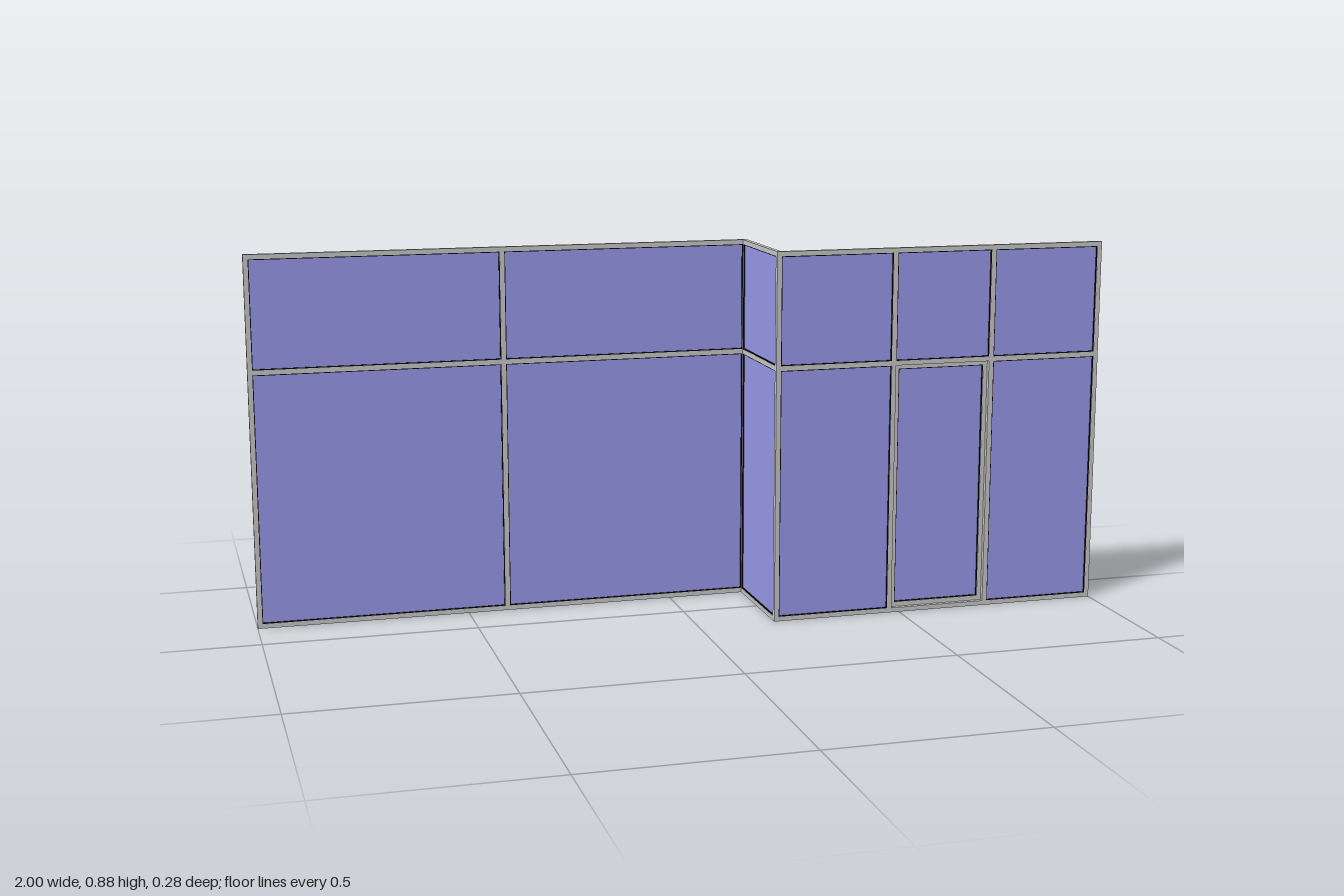
import * as THREE from 'three';

const HEIGHT = 0.88, BAR = 0.011, DEPTH = 0.011, TRANSOM = 0.608;

const frameMat = new THREE.MeshStandardMaterial({ color: 0xcccccc });
const glassMat = new THREE.MeshStandardMaterial({ color: 0x9a9cee });
const sealMat = new THREE.MeshStandardMaterial({ color: 0x080808 });

// Box given by its lower and upper x and y, centred on the wall plane
function bar(group, name, mat, x0, x1, y0, y1, depth) {
  const mesh = new THREE.Mesh(new THREE.BoxGeometry(x1 - x0, y1 - y0, depth), mat);
  mesh.name = name;
  mesh.position.set((x0 + x1) / 2, (y0 + y1) / 2, 0);
  group.add(mesh);
}

// Rectangular ring extruded through the wall
function ring(group, name, mat, x0, x1, y0, y1, width, depth) {
  const outline = (s, a, b, c, d) =>
    s.moveTo(a, c).lineTo(b, c).lineTo(b, d).lineTo(a, d).closePath();
  const shape = new THREE.Shape();
  outline(shape, x0, x1, y0, y1);
  const hole = new THREE.Path();
  outline(hole, x0 + width, x1 - width, y0 + width, y1 - width);
  shape.holes.push(hole);
  const geo = new THREE.ExtrudeGeometry(shape, { depth, bevelEnabled: false });
  geo.translate(0, 0, -depth / 2);
  const mesh = new THREE.Mesh(geo, mat);
  mesh.name = name;
  group.add(mesh);
}

// Thin glass sheet with a dark seal around it
function pane(group, x0, x1, y0, y1) {
  bar(group, 'glass', glassMat, x0, x1, y0, y1, 0.003);
  ring(group, 'glassSeal', sealMat, x0, x1, y0, y1, 0.002, DEPTH * 0.85);
}

// Glazed wall: posts at the listed centres, three rails, panes between;
// the bay numbered doorBay keeps its lower opening free
function glazedWall(name, posts, doorBay = -1) {
  const wall = new THREE.Group();
  wall.name = name;
  const h = BAR / 2;
  const last = posts.length - 1;
  for (const x of posts) bar(wall, 'post', frameMat, x - h, x + h, 0, HEIGHT, DEPTH);
  for (let i = 0; i < last; i++) {
    const x0 = posts[i] + h, x1 = posts[i + 1] - h;
    for (const y of [h, TRANSOM, HEIGHT - h])
      bar(wall, 'rail', frameMat, x0, x1, y - h, y + h, DEPTH);
    pane(wall, x0, x1, TRANSOM + h, HEIGHT - BAR);
    if (i !== doorBay) pane(wall, x0, x1, BAR, TRANSOM - h);
  }
  return wall;
}

export function createModel() {
  const model = new THREE.Group();
  model.name = 'glassPartition';

  // Long wall set back
  const back = glazedWall('backWall', [-0.9945, -0.405, 0.19]);
  back.position.z = -0.1335;

  // Short wall set forward, with the door bay
  const front = glazedWall('frontWall', [0.19, 0.475, 0.722, 0.9945], 1);
  front.position.z = 0.1335;

  // Return wall joining the two
  const side = glazedWall('returnWall', [-0.1325, 0.1325]);
  side.rotation.y = -Math.PI / 2;
  side.position.x = 0.19;

  // Door leaf, set slightly inwards
  const door = new THREE.Group();
  door.name = 'door';
  const x0 = 0.48, x1 = 0.717, y0 = 0.011, y1 = 0.604, w = 0.011;
  ring(door, 'doorFrame', frameMat, x0, x1, y0, y1, w, 0.012);
  pane(door, x0 + w, x1 - w, y0 + w, y1 - w);
  door.position.z = 0.123;

  model.add(back, front, side, door);
  return model;
}
